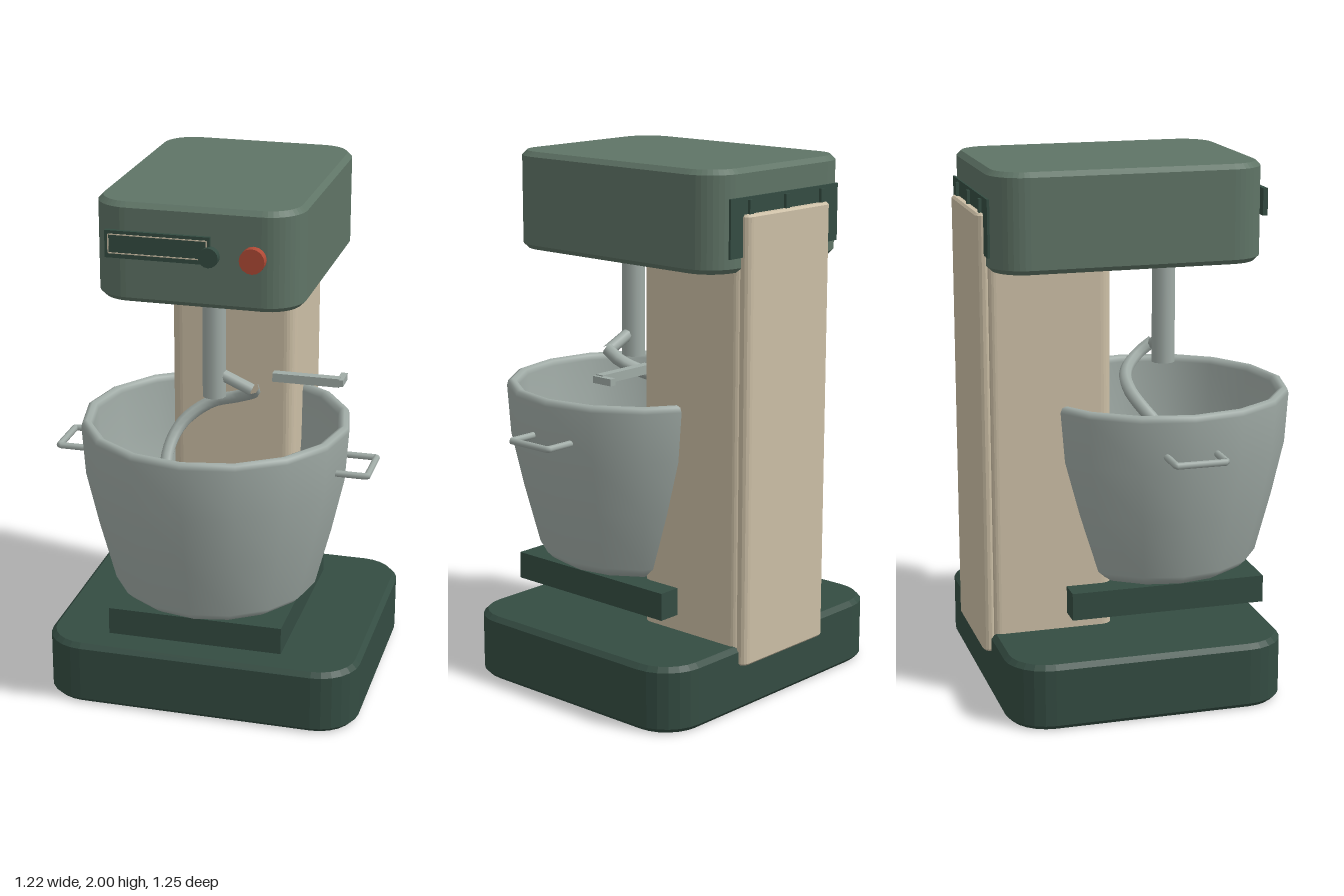
import * as THREE from 'three';

const mat = (name, color, extra = {}) => {
  const m = new THREE.MeshStandardMaterial({ color, ...extra });
  m.name = name;
  return m;
};

export function createModel() {
  const sage = mat('sage green', 0x5f7466);
  const dark = mat('dark green', 0x344c42);
  const cream = mat('cream', 0xcbbea5);
  const steel = mat('steel', 0xa0aba6);
  const red = mat('red', 0xb04a36);

  const model = new THREE.Group();
  model.name = 'standMixer';
  const add = (name, geometry, material, x = 0, y = 0, z = 0, parent = model) => {
    const mesh = new THREE.Mesh(geometry, material);
    mesh.name = name;
    mesh.position.set(x, y, z);
    parent.add(mesh);
    return mesh;
  };
  const box = (name, m, x0, x1, y0, y1, z0, z1, parent) =>
    add(name, new THREE.BoxGeometry(x1 - x0, y1 - y0, z1 - z0), m,
      (x0 + x1) / 2, (y0 + y1) / 2, (z0 + z1) / 2, parent);

  // Upright slab: plan with separate back and front corner radii, bevelled top and bottom
  const slab = (name, m, halfW, y0, y1, z0, z1, rBack, rFront, bevel, segments) => {
    const w = halfW - bevel, b = -z0 - bevel, f = -z1 + bevel; // shape y is -z
    const s = new THREE.Shape();
    s.moveTo(-w + rFront, f);
    s.lineTo(w - rFront, f);
    s.absarc(w - rFront, f + rFront, rFront, -Math.PI / 2, 0, false);
    s.lineTo(w, b - rBack);
    s.absarc(w - rBack, b - rBack, rBack, 0, Math.PI / 2, false);
    s.lineTo(-w + rBack, b);
    s.absarc(-w + rBack, b - rBack, rBack, Math.PI / 2, Math.PI, false);
    s.lineTo(-w, f + rFront);
    s.absarc(-w + rFront, f + rFront, rFront, Math.PI, Math.PI * 1.5, false);
    const g = new THREE.ExtrudeGeometry(s, {
      depth: y1 - y0 - 2 * bevel, bevelEnabled: true, bevelThickness: bevel,
      bevelSize: bevel, bevelSegments: 1, curveSegments: segments,
    });
    g.rotateX(-Math.PI / 2);
    return add(name, g, m, 0, y0 + bevel, 0);
  };

  // Main body
  slab('base', dark, 0.61, 0, 0.25, -0.6, 0.455, 0.14, 0.14, 0.018, 3);
  slab('column', cream, 0.245, 0.24, 1.65, -0.595, -0.13, 0.03, 0.04, 0.004, 3);
  slab('rearPanel', cream, 0.235, 0.18, 1.84, -0.628, -0.585, 0.022, 0.005, 0.008, 2);
  slab('head', sage, 0.38, 1.635, 2, -0.595, 0.425, 0.115, 0.115, 0.018, 5);
  box('bowlCradle', dark, -0.335, 0.335, 0.31, 0.415, -0.31, 0.44);

  // Vent plate and catches on the back of the head
  box('rearPlate', dark, -0.3, 0.3, 1.69, 1.9, -0.602, -0.593);
  for (const x of [-0.2, 0, 0.2]) box('rearCatch', dark, x - 0.01, x + 0.01, 1.82, 1.89, -0.613, -0.6);

  // Front controls
  box('controlPlate', dark, -0.32, 0.065, 1.8, 1.9, 0.42, 0.438);
  const trim = new THREE.Group();
  trim.name = 'controlTrim';
  model.add(trim);
  for (const y of [1.818, 1.886]) box('trimBar', cream, -0.307, 0.053, y - 0.002, y + 0.002, 0.437, 0.44, trim);
  for (const x of [-0.307, 0.053]) box('trimBar', cream, x - 0.002, x + 0.002, 1.818, 1.886, 0.437, 0.44, trim);
  const dial = (name, m, r, x, z1) => {
    const g = new THREE.CylinderGeometry(r, r, z1 - 0.415, 16);
    g.rotateX(Math.PI / 2);
    add(name, g, m, x, 1.83, (z1 + 0.415) / 2);
  };
  dial('speedKnob', dark, 0.036, 0.062, 0.455);
  dial('powerButton', red, 0.046, 0.22, 0.458);

  // Bowl: outer wall, rolled rim, inner wall
  const profile = [
    [0, 0.413], [0.33, 0.413], [0.365, 0.435], [0.39, 0.46], [0.45, 0.69], [0.497, 0.9],
    [0.51, 1.09], [0.505, 1.108], [0.49, 1.115], [0.474, 1.108], [0.466, 1.09],
    [0.457, 0.9], [0.415, 0.69], [0.358, 0.48], [0.3, 0.45], [0, 0.445],
  ].map(([r, y]) => new THREE.Vector2(r, y));
  add('bowl', new THREE.LatheGeometry(profile, 16), steel, 0, 0, 0.11);

  // Bent rods with straight runs
  const v = (p) => new THREE.Vector3(...p);
  const rod = (name, points, r) => {
    const path = new THREE.CurvePath();
    for (let i = 1; i < points.length; i++) path.add(new THREE.LineCurve3(v(points[i - 1]), v(points[i])));
    return add(name, new THREE.TubeGeometry(path, 48, r, 8), steel);
  };
  for (const s of [-1, 1]) {
    rod(s > 0 ? 'leftHandle' : 'rightHandle', [
      [s * 0.47, 0.96, 0.2], [s * 0.598, 0.96, 0.2], [s * 0.598, 0.96, 0.01], [s * 0.47, 0.96, 0.01],
    ], 0.013);
  }

  // Drive shaft and spiral dough hook
  add('driveShaft', new THREE.CylinderGeometry(0.045, 0.045, 0.45, 12), steel, 0, 1.425, 0.14);
  rod('hookArm', [[0.02, 1.29, 0.14], [0.145, 1.235, 0.14]], 0.024);
  const spiral = new THREE.CatmullRomCurve3([
    [0.145, 1.245, 0.14], [0.135, 1.205, 0.08], [0.06, 1.155, 0.01], [-0.06, 1.11, -0.01],
    [-0.16, 1.03, 0.04], [-0.19, 0.92, 0.14], [-0.14, 0.79, 0.24], [-0.02, 0.69, 0.27],
    [0.08, 0.62, 0.2], [0.06, 0.57, 0.12],
  ].map(v));
  add('doughHook', new THREE.TubeGeometry(spiral, 40, 0.025, 8), steel);
  add('hookTip', new THREE.SphereGeometry(0.026, 8, 6), steel, 0.06, 0.57, 0.12);

  // Bowl guard bracket beside the column
  box('bracketArm', steel, 0.17, 0.43, 1.193, 1.227, -0.11, -0.075);
  box('bracketEnd', steel, 0.42, 0.445, 1.197, 1.223, -0.163, -0.075);

  return model;
}
